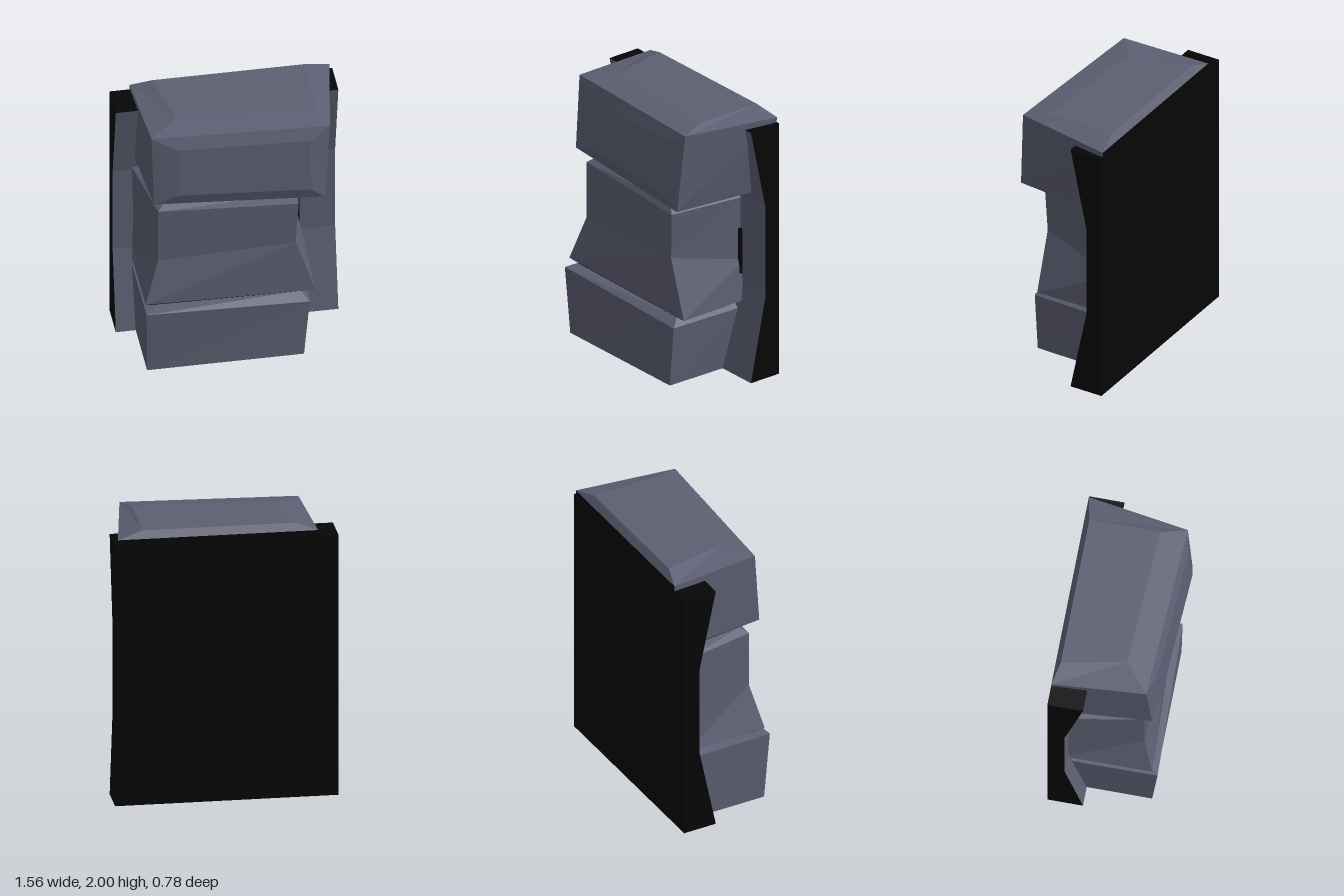
import * as THREE from 'three';

const stone = new THREE.MeshStandardMaterial({ color: 0x5c5f72 });
stone.name = 'slate stone';
const dark = new THREE.MeshStandardMaterial({ color: 0x060606 });
dark.name = 'black stone';

// Undersides and backs of blocks are black, the rest is slate.
const blockIsDark = (n) => n.y < -0.6 || n.z < -0.9;

// Lofts four-cornered rings (counter-clockwise seen from the end ring's side),
// closes both ends and sorts the flat faces into the two colours.
function loft(name, rings, isDark = blockIsDark) {
  const stonePoints = [];
  const darkPoints = [];
  const tri = (...corners) => {
    const [a, b, c] = corners.map((p) => new THREE.Vector3(...p));
    const normal = new THREE.Triangle(a, b, c).getNormal(new THREE.Vector3());
    (isDark(normal) ? darkPoints : stonePoints).push(...corners.flat());
  };
  const quad = (a, b, c, d) => {
    tri(a, b, c);
    tri(a, c, d);
  };
  for (let i = 0; i < rings.length - 1; i++) {
    for (let k = 0; k < 4; k++) {
      const next = (k + 1) % 4;
      quad(rings[i][k], rings[i][next], rings[i + 1][next], rings[i + 1][k]);
    }
  }
  const first = rings[0];
  quad(first[0], first[3], first[2], first[1]);
  quad(...rings[rings.length - 1]);

  const geometry = new THREE.BufferGeometry();
  geometry.setAttribute('position',
    new THREE.Float32BufferAttribute([...stonePoints, ...darkPoints], 3));
  geometry.addGroup(0, stonePoints.length / 3, 0);
  geometry.addGroup(stonePoints.length / 3, darkPoints.length / 3, 1);
  geometry.computeVertexNormals();
  const mesh = new THREE.Mesh(geometry, [stone, dark]);
  mesh.name = name;
  return mesh;
}

export function createModel() {
  const model = new THREE.Group();
  model.name = 'stonePillar';

  // Backing slab, thinner through its middle
  const slabProfile = [[0, -0.14], [0.63, -0.27], [1.3, -0.27], [1.91, -0.14]];
  const slabRings = slabProfile.map(([y, z]) =>
    [[-0.78, y, z], [0.78, y, z], [0.78, y, -0.39], [-0.78, y, -0.39]]);
  model.add(loft('backSlab', slabRings, (n) => n.z < 0.5));

  // Each block ring runs front left, front right, back right, back left
  model.add(loft('bottomBlock', [
    [[-0.64, 0, 0.32], [0.46, 0, 0.32], [0.47, 0, -0.3], [-0.64, 0, -0.3]],
    [[-0.65, 0.51, 0.36], [0.5, 0.45, 0.32], [0.52, 0.45, -0.3], [-0.65, 0.5, -0.3]],
    [[-0.57, 0.52, 0.28], [0.45, 0.5, 0.25], [0.46, 0.5, -0.3], [-0.57, 0.52, -0.3]],
  ]));

  model.add(loft('middleBlock', [
    [[-0.56, 0.5, 0.24], [0.46, 0.49, 0.2], [0.46, 0.49, -0.3], [-0.56, 0.5, -0.3]],
    [[-0.65, 0.57, 0.32], [0.55, 0.51, 0.27], [0.54, 0.51, -0.3], [-0.65, 0.56, -0.3]],
    [[-0.55, 0.89, 0.25], [0.41, 0.94, 0.27], [0.51, 0.8, -0.3], [-0.64, 0.89, -0.3]],
    [[-0.55, 1.315, 0.25], [0.43, 1.28, 0.28], [0.51, 1.28, -0.3], [-0.65, 1.32, -0.3]],
    [[-0.5, 1.35, 0.2], [0.36, 1.34, 0.24], [0.44, 1.34, -0.3], [-0.55, 1.35, -0.3]],
  ]));

  // Dark sliver wedged between the middle block and the slab
  const sliver = new THREE.Mesh(new THREE.BoxGeometry(0.1, 0.34, 0.03), dark);
  sliver.position.set(0.475, 0.88, -0.265);
  sliver.name = 'backSliver';
  model.add(sliver);

  model.add(loft('topBlock', [
    [[-0.5, 1.35, 0.17], [0.46, 1.35, 0.19], [0.48, 1.35, -0.3], [-0.55, 1.35, -0.3]],
    [[-0.59, 1.43, 0.31], [0.6, 1.39, 0.37], [0.65, 1.37, -0.385], [-0.64, 1.42, -0.385]],
    [[-0.6, 1.97, 0.27], [0.64, 1.97, 0.33], [0.76, 1.95, -0.388], [-0.64, 1.95, -0.388]],
    [[-0.4, 2, 0.1], [0.58, 2, 0.15], [0.58, 2, -0.35], [-0.49, 2, -0.35]],
  ]));

  // Raised front of the top block, from its edge to the inset face
  model.add(loft('topBlockFront', [
    [[-0.59, 1.43, 0.31], [0.6, 1.39, 0.37], [0.64, 1.97, 0.33], [-0.6, 1.97, 0.27]],
    [[-0.42, 1.51, 0.345], [0.5, 1.48, 0.39], [0.5, 1.88, 0.36], [-0.42, 1.88, 0.315]],
  ]));

  return model;
}
